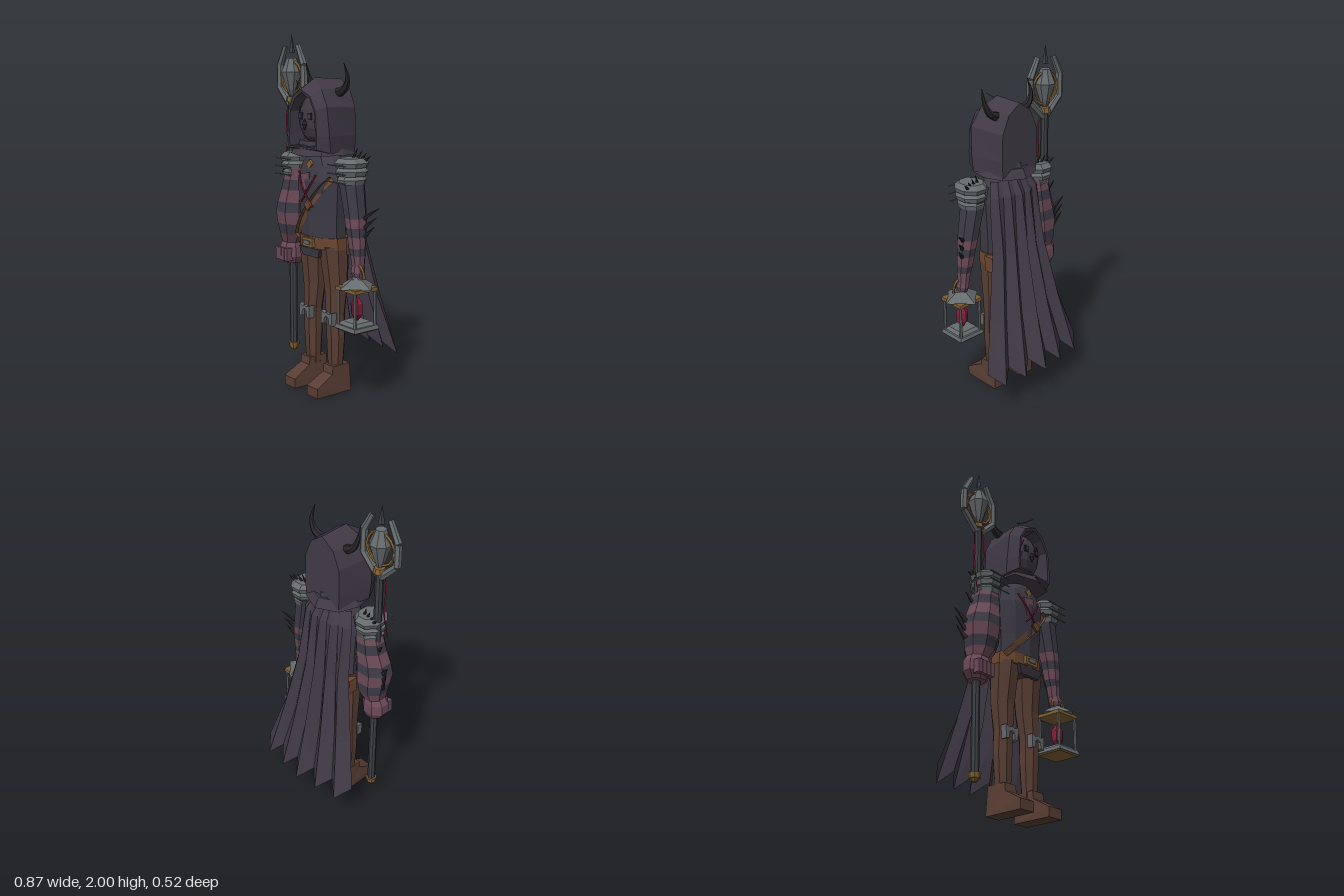
import * as THREE from 'three';

const mat = (name, color) => Object.assign(new THREE.MeshStandardMaterial({ color }), { name });

export function createModel() {
  const root = new THREE.Group();
  const M = {
    cloth: mat('dark cloth', 0x413a46), shirt: mat('shirt', 0x3d3a45), rose: mat('faded rose', 0x6c4a58),
    brown: mat('brown leather', 0x583e33), strap: mat('tan leather', 0x6a4630), grey: mat('grey metal', 0x666b6e),
    dark: mat('dark metal', 0x3e4046), gold: mat('old gold', 0x806034), red: mat('crimson', 0x84203a),
    black: mat('black horn', 0x29252b),
  };
  const capeMat = mat('dark cloth open', 0x413a46);
  capeMat.side = THREE.DoubleSide;

  // Faceted mesh helper
  function add(name, geo, m, parent = root) {
    const g = geo.index ? geo.toNonIndexed() : geo;
    g.computeVertexNormals();
    const mesh = new THREE.Mesh(g, m);
    mesh.name = name;
    parent.add(mesh);
    return mesh;
  }
  const box = (name, w, h, d, x, y, z, m, rz = 0) =>
    add(name, new THREE.BoxGeometry(w, h, d).rotateZ(rz).translate(x, y, z), m);
  const cyl = (name, rt, rb, h, n, x, y, z, m) =>
    add(name, new THREE.CylinderGeometry(rt, rb, h, n).translate(x, y, z), m);

  // Surface through cross-sections of equal point count
  function loft(rings, { closed = true, caps = true } = {}) {
    const pos = [], n = rings[0].length;
    const tri = (...p) => p.forEach(q => pos.push(...q));
    for (let i = 0; i < rings.length - 1; i++)
      for (let j = 0; j < (closed ? n : n - 1); j++) {
        const k = (j + 1) % n, [a, b, c, d] = [rings[i][j], rings[i][k], rings[i + 1][k], rings[i + 1][j]];
        tri(a, b, c);
        tri(a, c, d);
      }
    if (caps) [rings[0], rings[rings.length - 1]].forEach((r, end) => {
      const c = [0, 1, 2].map(ax => r.reduce((s, p) => s + p[ax], 0) / n);
      r.forEach((p, j) => (end ? tri(c, p, r[(j + 1) % n]) : tri(c, r[(j + 1) % n], p)));
    });
    return new THREE.BufferGeometry().setAttribute('position', new THREE.Float32BufferAttribute(pos, 3));
  }
  // Horizontal ring: y, centre x, centre z, radius x, radius z
  const ring = ([y, cx, cz, rx, rz], n = 8) => Array.from({ length: n }, (_, j) => {
    const a = (j + 0.5) / n * Math.PI * 2;
    return [cx + Math.cos(a) * rx, y, cz - Math.sin(a) * rz];
  });
  const stack = (name, rows, m, n = 8) => add(name, loft(rows.map(r => ring(r, n))), m);
  // Tube along a curve, tapering from r0 to r1
  function taper(name, pts, r0, r1, m, sides = 5, seg = 6) {
    const curve = new THREE.CatmullRomCurve3(pts.map(p => new THREE.Vector3(...p)));
    const g = new THREE.TubeGeometry(curve, seg, 1, sides), p = g.attributes.position, v = new THREE.Vector3();
    for (let i = 0; i < p.count; i++) {
      const t = Math.floor(i / (sides + 1)) / seg, c = curve.getPointAt(t);
      v.fromBufferAttribute(p, i).sub(c).multiplyScalar(r0 + (r1 - r0) * t).add(c);
      p.setXYZ(i, v.x, v.y, v.z);
    }
    return add(name, g, m);
  }
  const spike = (name, a, b, r, m = M.black) => taper(name, [a, b], r, 0.001, m, 5, 1);

  // Torso, hips and neck
  stack('shirt', [[0.86, 0, 0.095, 0.165, 0.1], [1.0, 0, 0.095, 0.168, 0.105], [1.2, 0, 0.095, 0.185, 0.12],
    [1.29, 0, 0.09, 0.16, 0.1], [1.35, 0, 0.09, 0.08, 0.08], [1.42, 0, 0.09, 0.07, 0.07]], M.shirt, 10);
  stack('hips', [[0.79, 0, 0.09, 0.155, 0.09], [0.84, 0, 0.09, 0.174, 0.1]], M.brown, 10);
  stack('belt', [[0.825, 0, 0.093, 0.178, 0.106], [0.89, 0, 0.093, 0.175, 0.108]], M.strap, 10);
  box('buckle', 0.09, 0.05, 0.02, 0, 0.857, 0.2, M.gold);
  box('buckleCentre', 0.055, 0.022, 0.008, 0, 0.857, 0.212, M.grey);
  add('beltFlap', loft([[[-0.065, 0.775, 0.19], [0.075, 0.775, 0.19], [0.075, 0.775, 0.17], [-0.065, 0.775, 0.17]],
    [[-0.09, 0.825, 0.2], [0.095, 0.825, 0.2], [0.095, 0.825, 0.18], [-0.09, 0.825, 0.18]]]), M.shirt);
  for (const s of [-1, 1]) box('beltPouch', 0.035, 0.09, 0.06, s * 0.165, 0.84, 0.035, M.strap);

  // Cross-body strap and chest trim
  const strapRings = Array.from({ length: 8 }, (_, i) => {
    const t = i / 7, x = -0.155 + 0.315 * t, y = 0.87 + 0.35 * t;
    const z = 0.1 + (0.1 + 0.02 * t) * Math.sqrt(1 - (x / 0.19) ** 2);
    return [[0.016, -0.01], [0.016, 0.012], [-0.016, 0.012], [-0.016, -0.01]]
      .map(([o, d]) => [x - o * 0.74, y + o * 0.67, z + d]).reverse();
  });
  add('chestStrap', loft(strapRings), M.strap);
  box('strapBuckle', 0.04, 0.045, 0.012, 0.025, 1.07, 0.222, M.strap, 0.84);
  taper('chestCord', [[-0.09, 1.25, 0.195], [-0.04, 1.17, 0.217], [0.055, 1.06, 0.212]], 0.005, 0.005, M.red);
  taper('chestCord', [[0.07, 1.24, 0.2], [0.03, 1.17, 0.217], [-0.05, 1.08, 0.212]], 0.005, 0.005, M.red);
  const patch = new THREE.Shape([[-0.06, 1.235], [-0.03, 1.13], [0.02, 1.2], [0.02, 1.25]].map(p => new THREE.Vector2(...p)));
  add('chestPatch', new THREE.ExtrudeGeometry(patch, { depth: 0.008, bevelEnabled: false }).translate(0, 0, 0.202), M.rose);
  box('neckClasp', 0.04, 0.035, 0.02, 0, 1.29, 0.185, M.gold, Math.PI / 4);

  // Legs, knee guards and boots
  const bootShape = new THREE.Shape([[0.02, 0], [0.26, 0], [0.26, 0.055], [0.15, 0.115], [0.145, 0.16], [0.025, 0.16]]
    .map(p => new THREE.Vector2(...p)));
  const kneeShape = new THREE.Shape([[-0.048, 0.47], [-0.045, 0.395], [-0.022, 0.4], [-0.018, 0.435], [0, 0.445],
    [0.018, 0.435], [0.022, 0.4], [0.045, 0.395], [0.048, 0.47], [0.018, 0.46], [0, 0.468], [-0.018, 0.46]]
    .map(p => new THREE.Vector2(...p)));
  for (const s of [-1, 1]) {
    stack('leg', [[0.12, s * 0.102, 0.09, 0.044, 0.042], [0.32, s * 0.104, 0.088, 0.056, 0.054],
      [0.45, s * 0.102, 0.09, 0.054, 0.056], [0.6, s * 0.098, 0.082, 0.07, 0.066], [0.84, s * 0.09, 0.09, 0.084, 0.09]], M.brown);
    add('kneeGuard', new THREE.ExtrudeGeometry(kneeShape, { depth: 0.035, bevelEnabled: false }).translate(s * 0.103, 0, 0.122), M.grey);
    const boot = new THREE.ExtrudeGeometry(bootShape, { depth: 0.1, bevelEnabled: false });
    boot.translate(0, 0, -0.05).rotateY(-Math.PI / 2);
    const p = boot.attributes.position;
    for (let i = 0; i < p.count; i++) p.setX(i, s * 0.107 + p.getX(i) * (p.getY(i) > 0.1 ? 0.84 : 1));
    add('boot', boot, M.brown);
  }

  // Pleated cape: rows of y, half width, z, pleat depth
  const capeRows = [[1.32, 0.14, 0.0, 0.004], [1.24, 0.18, -0.04, 0.008], [0.92, 0.2, -0.073, 0.018],
    [0.55, 0.275, -0.135, 0.027], [0.23, 0.355, -0.208, 0.033]];
  add('cape', loft(capeRows.map(([y, w, z, d], r) => Array.from({ length: 11 }, (_, j) => {
    const u = j / 5 - 1, out = j % 2 ? 1 : -1, low = r === 4 ? out * -0.035 : 0;
    return [-u * w, y + low, z - out * d + u * u * (r < 2 ? 0.05 : 0.035) - (j === 5 ? d * 0.5 : 0)];
  })), { closed: false, caps: false }), capeMat);

  // Hood: half sections from back to rim, then the inner recess
  const mirror = h => [...h, ...h.slice(0, -1).reverse().map(([x, y, z]) => [-x, y, z])];
  add('hood', loft([
    [[0.125, 1.36, -0.03], [0.13, 1.45, -0.03], [0.125, 1.6, -0.03], [0.08, 1.7, -0.03], [0, 1.755, -0.03]],
    [[0.162, 1.36, 0.17], [0.165, 1.45, 0.18], [0.155, 1.61, 0.19], [0.095, 1.7, 0.18], [0, 1.762, 0.15]],
    [[0.13, 1.38, 0.24], [0.132, 1.45, 0.242], [0.12, 1.59, 0.242], [0.075, 1.665, 0.244], [0, 1.7, 0.25]],
    [[0.115, 1.39, 0.24], [0.117, 1.45, 0.24], [0.108, 1.58, 0.24], [0.065, 1.65, 0.24], [0, 1.682, 0.244]],
    [[0.11, 1.39, 0.14], [0.11, 1.45, 0.14], [0.1, 1.58, 0.14], [0.06, 1.64, 0.14], [0, 1.67, 0.14]],
  ].map(mirror)), M.cloth);
  const hem = [[0.165, 0.08], [0.13, -0.03], [0, -0.085], [-0.13, -0.03], [-0.165, 0.08], [-0.14, 0.215], [0, 0.26], [0.14, 0.215]];
  const hemRing = (y, k, dip) => hem.map(([x, z]) => [x * k, y - (x === 0 ? dip : 0), 0.09 + (z - 0.09) * k]);
  add('hoodHem', loft([hemRing(1.345, 1, 0.005), hemRing(1.395, 0.84, 0)]), M.cloth);
  add('scarf', loft([hemRing(1.375, 0.8, 0.01), hemRing(1.42, 0.72, 0)]), M.shirt);

  // Face with eyes, nose and painted marks
  add('face', new THREE.SphereGeometry(1, 10, 8).scale(0.108, 0.135, 0.07).translate(0, 1.54, 0.152), M.cloth);
  add('nose', new THREE.OctahedronGeometry(1).scale(0.018, 0.032, 0.02).translate(0, 1.51, 0.222), M.black);
  for (const s of [-1, 1]) {
    box('eye', 0.032, 0.036, 0.008, s * 0.04, 1.555, 0.217, M.black);
    box('eyeCentre', 0.018, 0.02, 0.008, s * 0.04, 1.555, 0.22, M.shirt);
    taper('faceMark', [[s * 0.055, 1.61, 0.208], [s * 0.075, 1.56, 0.205], [s * 0.068, 1.49, 0.203]], 0.004, 0.001, M.red, 4);
    taper('faceMark', [[s * 0.09, 1.57, 0.192], [s * 0.062, 1.52, 0.21]], 0.004, 0.001, M.red, 4);
    taper('horn', [[s * 0.09, 1.68, 0.06], [s * 0.14, 1.705, 0.055], [s * 0.17, 1.76, 0.06], [s * 0.168, 1.84, 0.085]], 0.028, 0.002, M.black, 6, 8);
  }
  taper('strand', [[-0.11, 1.7, 0.2], [-0.06, 1.72, 0.225], [-0.02, 1.75, 0.26]], 0.004, 0.002, M.rose, 4);

  // Layered shoulder guards with spikes and rods
  for (const s of [-1, 1]) {
    [[1.2, 0.075], [1.245, 0.084], [1.29, 0.088]].forEach(([y, r]) => {
      stack('shoulderPlate', [[y, s * 0.25, 0.095, r * 0.9, r * 1.05], [y + 0.025, s * 0.25, 0.095, r, r * 1.15],
        [y + 0.05, s * 0.245, 0.095, r * 0.75, r * 0.85]], M.grey);
      add('shoulderRod', new THREE.CylinderGeometry(0.004, 0.004, 0.155, 5).rotateZ(Math.PI / 2).translate(s * 0.243, y + 0.015, 0.197), M.grey);
    });
    for (let i = 0; i < 4; i++)
      spike('shoulderSpike', [s * (0.22 + i * 0.027), 1.32, 0.07 - i * 0.005], [s * (0.25 + i * 0.03), 1.39 - i * 0.012, 0.055 - i * 0.005], 0.012);
  }

  // Striped arms, rows from bottom to top
  const sleeve = (name, rows) => rows.slice(1).forEach((r, i) => stack(name, [rows[i], r], i % 2 ? M.shirt : M.rose));
  sleeve('leftArm', [[0.76, 0.312, 0.1, 0.034, 0.036], [0.82, 0.308, 0.1, 0.042, 0.043], [0.86, 0.3, 0.098, 0.047, 0.048],
    [0.92, 0.295, 0.096, 0.052, 0.055], [0.97, 0.288, 0.095, 0.055, 0.06], [1.02, 0.28, 0.093, 0.06, 0.064], [1.24, 0.238, 0.09, 0.07, 0.075]]);
  stack('leftHand', [[0.7, 0.318, 0.105, 0.026, 0.03], [0.73, 0.316, 0.105, 0.036, 0.042], [0.77, 0.312, 0.1, 0.032, 0.036]], M.rose);
  sleeve('rightArm', [[0.8, -0.3, 0.09, 0.06, 0.06], [0.86, -0.285, 0.09, 0.09, 0.085], [0.92, -0.28, 0.095, 0.105, 0.095],
    [0.99, -0.28, 0.1, 0.115, 0.1], [1.05, -0.272, 0.1, 0.105, 0.095], [1.12, -0.258, 0.095, 0.092, 0.088],
    [1.18, -0.25, 0.092, 0.085, 0.082], [1.25, -0.235, 0.09, 0.072, 0.075]]);
  stack('rightFist', [[0.68, -0.305, 0.09, 0.055, 0.05], [0.72, -0.308, 0.092, 0.082, 0.07], [0.78, -0.308, 0.092, 0.08, 0.07],
    [0.82, -0.3, 0.09, 0.06, 0.058]], M.rose);
  for (let i = 0; i < 4; i++) box('finger', 0.026, 0.075, 0.04, -0.355 + i * 0.03, 0.735, 0.148, M.rose);
  for (let i = 0; i < 3; i++) {
    const y = 0.91 + i * 0.05;
    spike('leftArmSpike', [0.325 - i * 0.005, y, 0.085], [0.385 + i * 0.008, y + 0.07, 0.05 - i * 0.01], 0.015);
    spike('rightArmSpike', [-0.37, y, 0.075], [-0.415 - i * 0.008, y + 0.08, 0.04], 0.018);
  }
  spike('rightArmSpike', [-0.32, 1.13, 0.08], [-0.37, 1.2, 0.06], 0.015);

  // Staff with caged gem
  const sx = -0.305, sz = 0.085;
  cyl('staffShaft', 0.023, 0.023, 1.45, 8, sx, 0.9, sz, M.dark);
  cyl('staffPommel', 0.034, 0.03, 0.03, 8, sx, 0.17, sz, M.gold);
  cyl('staffPommelTip', 0.03, 0.014, 0.025, 8, sx, 0.15, sz, M.gold);
  cyl('staffCollar', 0.03, 0.036, 0.03, 8, sx, 1.635, sz, M.gold);
  stack('staffGem', [[1.655, sx, sz, 0.015, 0.015], [1.69, sx, sz, 0.03, 0.03], [1.79, sx, sz, 0.062, 0.062],
    [1.83, sx, sz, 0.045, 0.045], [1.87, sx, sz, 0.03, 0.03]], M.grey);
  add('gemRing', new THREE.TorusGeometry(0.092, 0.009, 5, 16).translate(sx, 1.76, sz), M.gold);
  spike('staffSpike', [sx, 1.9, sz], [sx, 2.0, sz], 0.018, M.dark);
  for (const s of [-1, 1]) {
    const bend = [[0.015, 1.6], [0.115, 1.7], [0.115, 1.83], [0.058, 1.94]].map(([x, y]) => [sx + s * x, y, sz]);
    for (let i = 0; i < 3; i++) taper('staffProng', [bend[i], bend[i + 1]], 0.021, i === 2 ? 0.016 : 0.021, M.grey, 6, 1);
    taper('staffRibbon', [[sx + s * 0.02, 1.62, sz], [sx + s * 0.037, 1.55, sz + 0.015], [sx + s * 0.034, 1.38, sz + 0.01],
      [sx + s * 0.042, 1.21, sz + 0.04]], 0.006, 0.004, M.red, 4);
  }

  // Lantern
  const lx = 0.318, lz = 0.115;
  const square = (name, r0, r1, h, y, m) =>
    add(name, new THREE.CylinderGeometry(r1, r0, h, 4).rotateY(Math.PI / 4).translate(lx, y, lz), m);
  cyl('lanternRoof', 0.04, 0.118, 0.045, 4, lx, 0.672, lz, M.grey);
  cyl('lanternCap', 0.022, 0.034, 0.02, 6, lx, 0.7, lz, M.grey);
  square('lanternTopTrim', 0.115, 0.115, 0.02, 0.643, M.gold);
  square('lanternBase', 0.122, 0.115, 0.022, 0.432, M.grey);
  square('lanternFloor', 0.1, 0.08, 0.02, 0.452, M.grey);
  square('lanternFoot', 0.11, 0.118, 0.01, 0.418, M.gold);
  for (const i of [-1, 1]) for (const j of [-1, 1]) cyl('lanternPost', 0.009, 0.009, 0.2, 6, lx + i * 0.07, 0.54, lz + j * 0.07, M.grey);
  stack('lanternCrystal', [[0.465, lx, lz, 0.01, 0.01], [0.5, lx, lz, 0.033, 0.033], [0.56, lx, lz, 0.035, 0.035], [0.605, lx, lz, 0.004, 0.004]], M.red, 6);
  add('lanternHandle', new THREE.TorusGeometry(0.05, 0.008, 5, 10, Math.PI).scale(1, 1.4, 1).translate(lx + 0.01, 0.7, lz), M.gold);

  return root;
}
